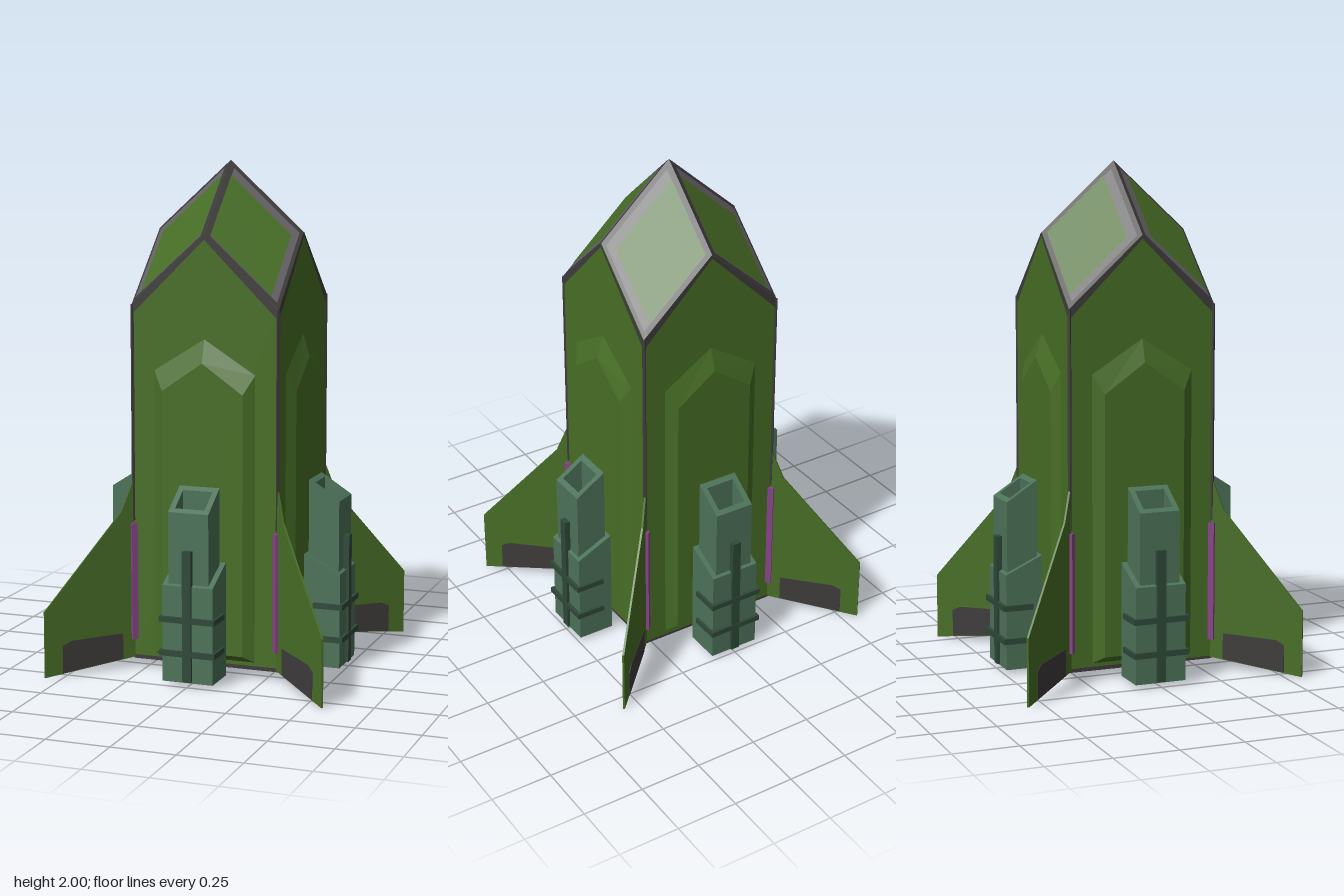
import * as THREE from 'three';

const mat = (name, color, side = THREE.FrontSide) => {
  const m = new THREE.MeshStandardMaterial({ color, side });
  m.name = name;
  return m;
};

export function createModel() {
  const green = mat('hull green', 0x476e26);
  const frameGrey = mat('frame charcoal', 0x3e3b3b);
  const trimGrey = mat('window trim grey', 0x636163);
  const podGreen = mat('pod green', 0x4d7359);
  const strapGreen = mat('strap dark green', 0x2f4939);
  const red = mat('pod core red', 0x8c4a4a);
  const purple = mat('hinge purple', 0x884488);

  const model = new THREE.Group();
  model.name = 'rocket';
  const add = (parent, name, geo, material) => {
    const mesh = new THREE.Mesh(geo, material);
    mesh.name = name;
    parent.add(mesh);
    return mesh;
  };
  const box = (w, h, d, x, y, z) => new THREE.BoxGeometry(w, h, d).translate(x, y, z);
  const shape = (pts) => new THREE.Shape(pts.map(([x, y]) => new THREE.Vector2(x, y)));
  const H = 0.3, APEX = 2, SLOPE = 0.91;
  const roofY = (x, z) => APEX - SLOPE * (Math.abs(x) + Math.abs(z));
  const MID = roofY(H, 0), CORNER = roofY(H, H);

  // Triangles from a corner list, flat shaded
  const facets = (pts, index) => {
    const g = new THREE.BufferGeometry();
    g.setAttribute('position', new THREE.Float32BufferAttribute(pts.flat(), 3));
    g.setIndex(index);
    const flat = g.toNonIndexed();
    flat.computeVertexNormals();
    return flat;
  };

  // One rectangle (seen from above) lying on a nose facet
  const roofPlate = (sx, sz, x0, x1, z0, z1, lift) => {
    const pts = [[x0, z0], [x0, z1], [x1, z1], [x1, z0]]
      .map(([x, z]) => [sx * x, roofY(x, z) + lift, sz * z]);
    return facets(pts, sx * sz > 0 ? [0, 1, 2, 0, 2, 3] : [0, 2, 1, 0, 3, 2]);
  };

  // Nose: four rhombic facets with frame, trim and green panel
  for (const sx of [-1, 1]) {
    for (const sz of [-1, 1]) {
      add(model, 'noseFrame', roofPlate(sx, sz, 0, H, 0, H, 0), frameGrey);
      add(model, 'noseTrim', roofPlate(sx, sz, 0.02, 0.289, 0.018, 0.285, 0.003), trimGrey);
      add(model, 'nosePanel', roofPlate(sx, sz, 0.02, 0.266, 0.05, 0.285, 0.006), green);
    }
  }
  add(model, 'basePlate', box(2 * H, 0.015, 2 * H, 0, 0.0475, 0), frameGrey);

  // Raised pad with bevelled rim on each wall
  const padGeometry = () => {
    const outer = [[-0.207, 0.07], [0.207, 0.07], [0.207, 1.2], [0, 1.33], [-0.207, 1.2]];
    const inner = [[-0.165, 0.095], [0.165, 0.095], [0.165, 1.125], [0, 1.24], [-0.165, 1.125]];
    const pts = [...outer.map(([x, y]) => [x, y, H]), ...inner.map(([x, y]) => [x, y, 0.328])];
    const index = [5, 6, 7, 5, 7, 8, 5, 8, 9];
    for (let i = 0; i < 5; i++) {
      const j = (i + 1) % 5;
      index.push(i, j, j + 5, i, j + 5, i + 5);
    }
    return facets(pts, index);
  };

  // Upright rectangular tube whose top slopes down outwards (+z)
  const slantedTube = (hw, z0, z1, holeHw, h0, h1, bottom, top, drop) => {
    const s = shape([[-hw, -z0], [-hw, -z1], [hw, -z1], [hw, -z0]]);
    s.holes.push(shape([[-holeHw, -h0], [holeHw, -h0], [holeHw, -h1], [-holeHw, -h1]]));
    const g = new THREE.ExtrudeGeometry(s, { depth: top - bottom, bevelEnabled: false });
    g.rotateX(-Math.PI / 2).translate(0, bottom, 0);
    const p = g.attributes.position;
    for (let i = 0; i < p.count; i++) {
      if (p.getY(i) > (top + bottom) / 2) {
        p.setY(i, top - drop * (p.getZ(i) - z0) / (z1 - z0));
      }
    }
    g.computeVertexNormals();
    return g;
  };

  // Booster pod on the +z side
  const addPod = (parent) => {
    const pod = new THREE.Group();
    pod.name = 'boosterPod';
    parent.add(pod);
    add(pod, 'podTube', slantedTube(0.082, 0.355, 0.479, 0.06, 0.375, 0.46, 0.07, 0.765, 0.08), podGreen);
    add(pod, 'podSleeve', slantedTube(0.103, 0.342, 0.491, 0.081, 0.356, 0.478, 0.02, 0.47, 0.07), podGreen);
    add(pod, 'podCore', box(0.122, 0.02, 0.088, 0, 0.5, 0.4175), red);
    add(pod, 'podFloor', box(0.16, 0.02, 0.122, 0, 0.1, 0.417), podGreen);
    add(pod, 'podSpine', box(0.036, 0.515, 0.03, 0, 0.282, 0.487), strapGreen);
    for (const y of [0.135, 0.268]) {
      add(pod, 'podStrapFront', box(0.226, 0.022, 0.016, 0, y, 0.496), strapGreen);
      for (const s of [-1, 1]) {
        add(pod, 'podStrapSide', box(0.014, 0.022, 0.12, s * 0.106, y, 0.443), strapGreen);
      }
    }
    for (const s of [-1, 1]) {
      for (const y of [0.15, 0.36]) {
        add(pod, 'podMount', box(0.022, 0.08, 0.032, s * 0.04, y, 0.334), strapGreen);
      }
    }
  };

  // Fin along the corner diagonal; profile x is given as seen from the front
  const R2 = Math.SQRT2;
  const finPlate = (pts, thickness) =>
    new THREE.ExtrudeGeometry(shape(pts.map(([x, y]) => [x * R2, y])), { depth: thickness, bevelEnabled: false })
      .translate(0, 0, -thickness / 2).rotateY(-Math.PI / 4);
  const diagonalBox = (radial, h, across, r, y) =>
    box(radial, h, across, r * R2, y, 0).rotateY(-Math.PI / 4);

  // Wall, pod and corner fin, repeated on four sides
  for (let i = 0; i < 4; i++) {
    const side = new THREE.Group();
    side.name = 'hullSide';
    side.rotation.y = i * Math.PI / 2;
    model.add(side);

    const wall = shape([[-H, 0.05], [H, 0.05], [H, CORNER], [0, MID], [-H, CORNER]]);
    add(side, 'hullWall', new THREE.ShapeGeometry(wall).translate(0, 0, H), green);
    const edge = shape([[-H, CORNER], [-H, CORNER - 0.04], [0, MID - 0.015],
      [H, CORNER - 0.04], [H, CORNER], [0, MID]]);
    add(side, 'noseEdge', new THREE.ShapeGeometry(edge).translate(0, 0, H + 0.002), frameGrey);
    add(side, 'hullPad', padGeometry(), green);
    addPod(side);

    add(side, 'fin', finPlate([[0.29, 0.045], [0.3, 0.045], [0.567, 0.004], [0.567, 0.268],
      [0.335, 0.64], [0.3, 0.76], [0.29, 0.76]], 0.008), green);
    add(side, 'finFlap', finPlate([[0.335, 0.042], [0.515, 0.015], [0.515, 0.125], [0.49, 0.142],
      [0.335, 0.147]], 0.0125), frameGrey);
    add(side, 'finHinge', diagonalBox(0.024, 0.47, 0.032, 0.3, 0.355), purple);
    add(side, 'cornerStrip', diagonalBox(0.012, CORNER - 0.6, 0.012, 0.2975, (CORNER + 0.6) / 2), frameGrey);
  }
  return model;
}
